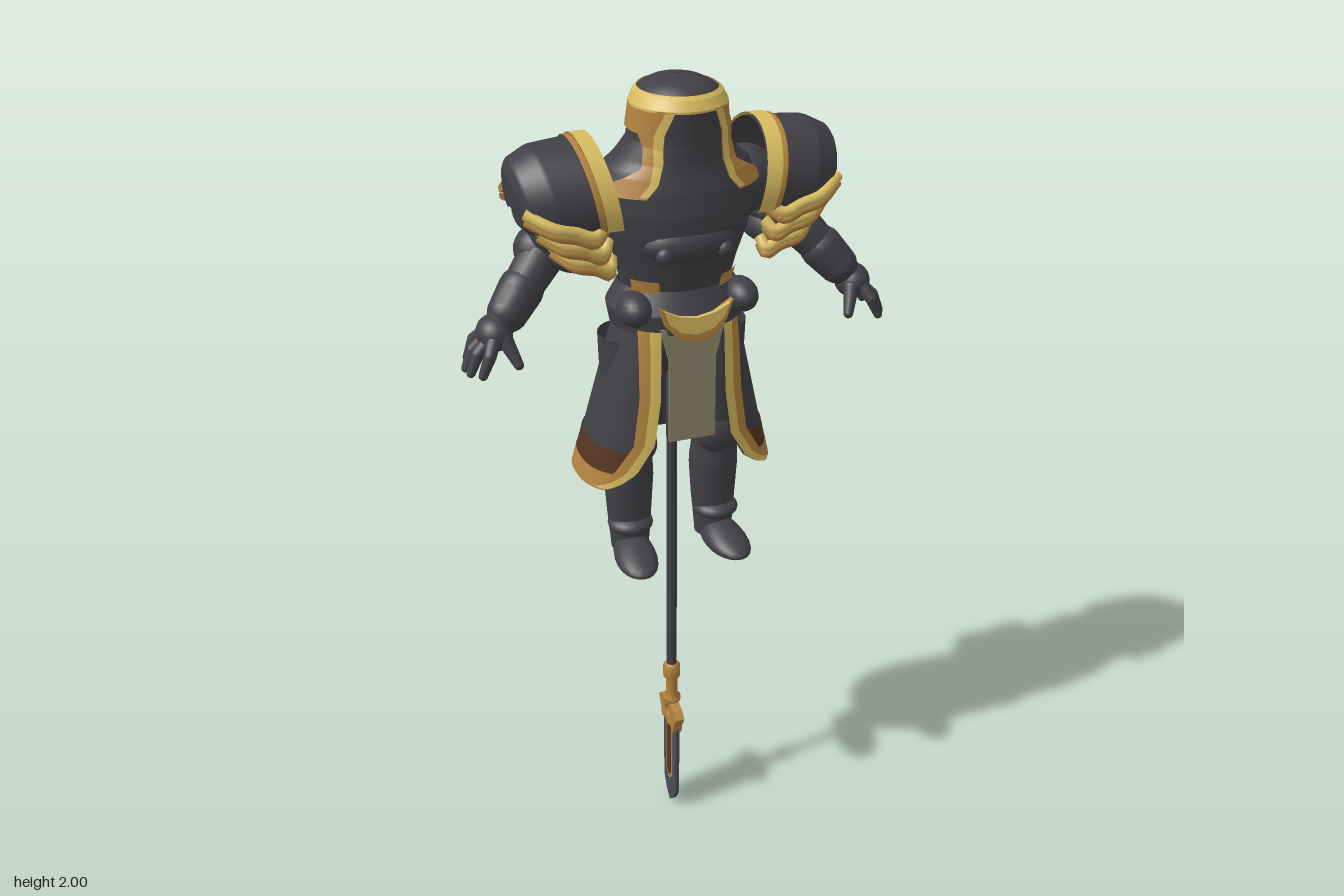
import * as THREE from 'three';
import { ParametricGeometry } from 'three/addons/geometries/ParametricGeometry.js';

const V = (x, y, z) => new THREE.Vector3(x, y, z);
const paint = (name, color) => new THREE.MeshStandardMaterial({ name, color, side: THREE.DoubleSide });
const lerp = THREE.MathUtils.lerp;

// Piecewise-linear lookup in rows sorted by their first entry
function sample(rows, t) {
  let i = 0;
  while (i < rows.length - 2 && t > rows[i + 1][0]) i++;
  const [a, b] = [rows[i], rows[i + 1]];
  const k = THREE.MathUtils.clamp((t - a[0]) / (b[0] - a[0]), 0, 1);
  return a.map((n, j) => lerp(n, b[j], k));
}

// Upright body from rows [y, half width, front z, back z]; angle 0 faces the front
function body(rows, power = 1) {
  const pw = n => Math.sign(n) * Math.abs(n) ** power;
  return {
    at(a, y, off = 0) {
      const [, rx, zf, zb] = sample(rows, y);
      return V(pw(Math.sin(a)) * (rx + off), y, (zf + zb) / 2 + pw(Math.cos(a)) * ((zf - zb) / 2 + off));
    },
    angle: (x, y) => Math.asin(Math.min(1, x / sample(rows, y)[1]) ** (1 / power)),
  };
}

export function createModel() {
  const dark = paint('dark armour', 0x414045), gold = paint('light gold', 0xd8bc60);
  const bronze = paint('bronze', 0xb58440), brown = paint('brown cloth', 0x553620);
  const cloth = paint('grey cloth', 0x8f856a), steel = paint('blade steel', 0x4b4e57);
  const model = new THREE.Group();

  function add(name, geo, mat, parent = model) {
    const m = new THREE.Mesh(geo, mat);
    m.name = name;
    parent.add(m);
    return m;
  }
  function ball(name, pos, size, mat, parent) {
    const m = add(name, new THREE.SphereGeometry(1, 20, 14), mat, parent);
    m.position.set(...pos);
    m.scale.set(...size);
    return m;
  }
  // Tapered segment with a rounded joint at each end
  function limb(name, a, b, ra, rb, mat, parent) {
    const p = V(...a), q = V(...b);
    const m = add(name, new THREE.CylinderGeometry(rb, ra, p.distanceTo(q), 16), mat, parent);
    m.position.copy(p).lerp(q, 0.5);
    m.quaternion.setFromUnitVectors(V(0, 1, 0), q.clone().sub(p).normalize());
    ball(name + 'Start', a, [ra, ra, ra], mat, parent);
    ball(name + 'End', b, [rb, rb, rb], mat, parent);
  }
  // Patch of a body between two angle limits (numbers or functions of y)
  function patch(name, shape, from, to, y0, y1, off, mat, parent, nu = 48, nv = 24) {
    const val = (f, y) => (typeof f === 'function' ? f(y) : f);
    return add(name, new ParametricGeometry((u, v, out) => {
      const y = lerp(y0, y1, v);
      out.copy(shape.at(lerp(val(from, y), val(to, y), u), y, off));
    }, nu, nv), mat, parent);
  }
  function plate(name, pts, depth, mat, hole) {
    const s = new THREE.Shape(pts.map(p => new THREE.Vector2(...p)));
    if (hole) s.holes.push(new THREE.Path().absarc(0, hole[0], hole[1], 0, Math.PI * 2, true));
    const g = new THREE.ExtrudeGeometry(s, { depth, bevelEnabled: false, curveSegments: 16 });
    return add(name, g.translate(0, 0, -depth / 2), mat);
  }
  const mirrored = half => half.concat(half.slice().reverse().map(([x, y]) => [-x, y]));
  const TAU = Math.PI * 2;

  // Torso, neck and hood
  const torso = body([
    [1.32, 0.06, 0.04, -0.04], [1.4, 0.12, 0.1, -0.07], [1.54, 0.125, 0.12, -0.08], [1.6, 0.138, 0.135, -0.085],
    [1.67, 0.162, 0.153, -0.1], [1.72, 0.174, 0.155, -0.107], [1.77, 0.18, 0.148, -0.107], [1.81, 0.165, 0.138, -0.1],
    [1.835, 0.135, 0.135, -0.09], [1.87, 0.11, 0.135, -0.075], [1.95, 0.1, 0.142, -0.066],
    [1.97, 0.09, 0.13, -0.06], [1.985, 0.07, 0.112, -0.045], [1.996, 0.04, 0.075, -0.01], [2, 0.003, 0.035, 0.029]]);
  patch('torso', torso, 0, TAU, 1.32, 2, 0, dark, model, 56, 68);
  patch('hoodRim', torso, 0, TAU, 1.945, 1.977, 0.005, gold);
  patch('hoodBand', torso, 0.75, TAU - 0.75, 1.895, 1.945, 0.005, bronze);
  ball('abdomenPlate', [0, 1.66, 0.11], [0.11, 0.05, 0.053], dark);
  patch('waistBand', torso, 2.45, 3.83, 1.535, 1.575, 0.006, bronze);

  // Wide belt and front buckle
  const hips = body([[1.455, 0.152, 0.145, -0.1], [1.5, 0.16, 0.15, -0.107], [1.55, 0.13, 0.125, -0.086]]);
  patch('hipBelt', hips, 0, TAU, 1.455, 1.55, 0, dark);
  const crescent = mirrored([[0, 1.44], [0.04, 1.452], [0.07, 1.485], [0.085, 1.53], [0.045, 1.505], [0, 1.495]]);
  plate('buckleBack', crescent, 0.016, bronze).position.z = 0.15;
  const buckle = plate('buckle', crescent, 0.01, gold);
  buckle.scale.set(0.9, 0.72, 1);
  buckle.position.set(0, 0.424, 0.157);

  // Open-fronted skirt with trims
  const skirt = body([[1.07, 0.232, 0.145, -0.165], [1.47, 0.135, 0.138, -0.09]], 0.78);
  const openX = [[1.07, 0.2], [1.09, 0.165], [1.12, 0.13], [1.19, 0.09], [1.3, 0.075], [1.47, 0.07]];
  const edge = extra => y => skirt.angle(sample(openX, y)[1] + extra, y);
  const farEdge = y => TAU - edge(0)(y);
  patch('skirt', skirt, edge(0), farEdge, 1.07, 1.47, 0, dark, model, 64, 40);
  patch('skirtHem', skirt, edge(0), farEdge, 1.07, 1.115, 0.004, bronze);
  patch('skirtStripe', skirt, edge(0.03), y => TAU - edge(0.03)(y), 1.115, 1.17, 0.003, brown);
  patch('backCloth', skirt, y => Math.PI - Math.sqrt(Math.max(0, y - 1.36)) * 2.4,
    y => Math.PI + Math.sqrt(Math.max(0, y - 1.36)) * 2.4, 1.36, 1.465, 0.004, cloth);
  plate('tabard', mirrored([[0.055, 1.19], [0.055, 1.39], [0.075, 1.47]]), 0.008, cloth).position.z = 0.132;

  // Parts found on both sides
  function side() {
    const g = new THREE.Group();

    patch('skirtEdge', skirt, edge(0), edge(0.022), 1.075, 1.465, 0.006, gold, g, 4, 40);
    patch('skirtEdgeOuter', skirt, edge(0.02), edge(0.044), 1.085, 1.465, 0.005, bronze, g, 4, 40);
    ball('chestBolt', [0.068, 1.645, 0.145], [0.02, 0.02, 0.018], dark, g);
    ball('hipPlate', [0.125, 1.515, 0.1], [0.038, 0.038, 0.055], dark, g);
    patch('waistTrim', torso, 0.55, 1.1, 1.545, 1.575, 0.006, bronze, g);

    // Collar trim curving from the hood to the shoulder
    const inner = [[1.77, 0.1], [1.8, 0.075], [1.84, 0.062], [1.9, 0.058], [1.95, 0.04]];
    const outer = [[1.77, 0.178], [1.8, 0.15], [1.83, 0.1], [1.87, 0.092], [1.9, 0.098], [1.95, 0.07]];
    const on = rows => y => torso.angle(sample(rows, y)[1], y);
    patch('collarTrim', torso, on(inner), on(outer), 1.77, 1.95, 0.008, bronze, g, 16, 40);
    patch('collarEdge', torso, on(inner), y => torso.angle(sample(inner, y)[1] + 0.016, y),
      1.775, 1.95, 0.011, gold, g, 6, 40);

    // Ornament behind the shoulder
    const arc = add('backArc', new THREE.TorusGeometry(0.04, 0.011, 8, 24, 3.8), bronze, g);
    arc.position.set(0.115, 1.71, -0.094);
    arc.rotation.set(0, -0.5, 3);
    ball('backBoss', [0.115, 1.725, -0.09], [0.024, 0.024, 0.022], dark, g);

    // Pauldron shell from rows [t, x, centre y, height, depth]
    const rows = [[0, 0.17, 1.755, 0.122, 0.128], [0.25, 0.215, 1.755, 0.122, 0.128], [0.6, 0.3, 1.75, 0.119, 0.122],
      [0.85, 0.352, 1.745, 0.1, 0.1], [0.95, 0.368, 1.745, 0.072, 0.075], [1, 0.374, 1.745, 0.004, 0.004]];
    const shell = (name, t0, t1, off, mat) => add(name, new ParametricGeometry((u, v, out) => {
      const [, x, cy, ry, rz] = sample(rows, lerp(t0, t1, v));
      const a = lerp(-1.95, 1.95, u);
      const y = cy + Math.cos(a) * (ry + off);
      out.set(x + (y - 1.8) * 0.2, y, Math.sin(a) * (rz + off));
    }, 36, 24), mat, g);
    shell('pauldron', 0, 1, 0, dark);
    shell('pauldronRim', 0, 0.2, 0.007, gold);
    shell('pauldronTrim', 0.2, 0.27, 0.004, bronze);

    // Overlapping scales below the pauldron, front and back
    for (let k = 0; k < 3; k++) {
      const d = k * 0.04, s = k * 0.022;
      ball('scalePlate', [0.265 - s * 0.7, 1.72 - d, 0], [0.09 - s * 0.5, 0.05, 0.118 - s * 0.3], dark, g);
      for (const f of [1, -1]) {
        for (const [name, drop, r, mat] of [['scaleRim', 0, 0.013, gold], ['scaleEdge', 0.016, 0.011, bronze]]) {
          const z = 0.122 - s * 0.25;
          const path = new THREE.CatmullRomCurve3([V(0.355 - s * 1.3, 1.755 - d - drop, f * (z - 0.035)),
            V(0.3 - s, 1.728 - d - drop, f * z), V(0.255 - s, 1.715 - d - drop, f * z),
            V(0.215 - s * 0.8, 1.7 - d - drop, f * z), V(0.185 - s * 0.3, 1.72 - d - drop, f * (z - 0.02))]);
          add(name, new THREE.TubeGeometry(path, 20, r, 8), mat, g);
        }
      }
    }

    // Arm and gauntlet
    limb('upperArm', [0.17, 1.75, 0], [0.285, 1.635, -0.01], 0.07, 0.052, dark, g);
    ball('elbowGuard', [0.3, 1.635, -0.015], [0.056, 0.056, 0.056], dark, g);
    limb('forearm', [0.3, 1.625, 0], [0.4, 1.515, 0.045], 0.05, 0.038, dark, g);
    limb('cuff', [0.355, 1.565, 0.025], [0.39, 1.525, 0.042], 0.05, 0.045, dark, g);
    ball('palm', [0.425, 1.485, 0.05], [0.04, 0.04, 0.048], dark, g);
    const tips = [[0.478, 1.415, 0.005], [0.49, 1.407, 0.04], [0.487, 1.41, 0.075], [0.468, 1.415, 0.108]];
    tips.forEach(([x, y, z], i) => {
      const knuckle = [x - 0.018, y + 0.04, z - 0.004];
      limb('finger', [0.435, 1.48, 0.02 + i * 0.021], knuckle, 0.016, 0.014, dark, g);
      limb('fingertip', knuckle, [x, y, z], 0.014, 0.01, dark, g);
    });
    limb('thumb', [0.41, 1.48, 0.08], [0.39, 1.43, 0.112], 0.018, 0.011, dark, g);

    // Leg with knee guard and boot
    const leg = body([[0.85, 0.046, 0.04, -0.04], [0.9, 0.05, 0.045, -0.045], [0.95, 0.054, 0.045, -0.052],
      [1.05, 0.06, 0.052, -0.06], [1.1, 0.055, 0.05, -0.052], [1.16, 0.06, 0.06, -0.055], [1.42, 0.068, 0.07, -0.065]]);
    patch('leg', leg, 0, TAU, 0.85, 1.42, 0, dark, g, 24, 30).position.x = 0.108;
    ball('kneeGuard', [0.105, 1.14, 0.035], [0.055, 0.055, 0.035], dark, g);
    ball('ankleGuard', [0.11, 0.92, 0.01], [0.055, 0.025, 0.055], dark, g);
    const foot = new THREE.SphereGeometry(1, 24, 16), p = foot.attributes.position;
    for (let i = 0; i < p.count; i++) {
      const z = p.getZ(i);
      const high = Math.max(p.getY(i), -0.35) + 0.35;
      p.setXYZ(i, p.getX(i) * (0.05 + z * 0.006), high * (0.038 - z * 0.014), z * 0.1);
    }
    foot.computeVertexNormals();
    const boot = add('boot', foot, dark, g);
    boot.position.set(0.115, 0.84, 0.056);
    boot.rotation.y = 0.1;
    return g;
  }
  const left = side(), right = side();
  left.name = 'leftSide';
  right.name = 'rightSide';
  right.scale.x = -1;
  model.add(left, right);

  // Spear pointing straight down
  add('spearShaft', new THREE.CylinderGeometry(0.013, 0.013, 0.98, 14), dark).position.y = 0.93;
  const collar = [[0.001, 0.32], [0.014, 0.325], [0.014, 0.338], [0.023, 0.344], [0.023, 0.356], [0.015, 0.362],
    [0.015, 0.415], [0.022, 0.422], [0.022, 0.455], [0.013, 0.462]];
  add('spearCollar', new THREE.LatheGeometry(collar.map(c => new THREE.Vector2(...c)), 16), bronze);
  const spear = [
    plate('blade', mirrored([[0, 0], [0.025, 0.025], [0.044, 0.06], [0.046, 0.27], [0.03, 0.29], [0, 0.285]]), 0.01, steel),
    plate('bladeInlay', mirrored([[0, 0.075], [0.02, 0.095], [0.02, 0.27]]), 0.014, bronze),
    plate('bladeCore', mirrored([[0, 0.09], [0.014, 0.105], [0.014, 0.26]]), 0.017, brown),
    plate('bladeGuard', mirrored([[0, 0.265], [0.02, 0.272], [0.042, 0.262], [0.048, 0.29], [0.064, 0.318],
      [0.045, 0.336], [0.018, 0.345]]), 0.024, bronze, [0.308, 0.017]),
  ];
  spear.forEach(m => { m.rotation.y = Math.PI / 2; });
  return model;
}
